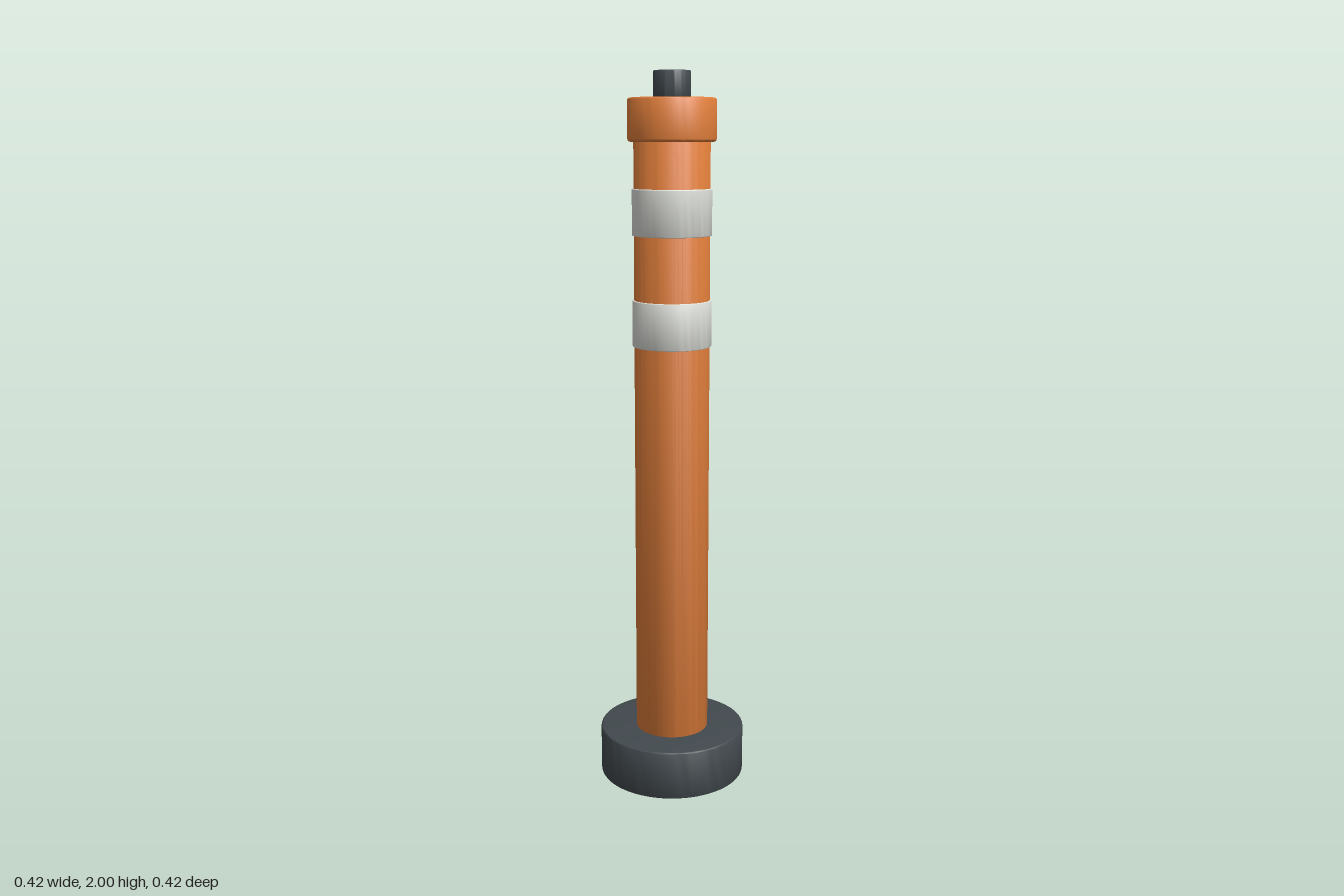
import * as THREE from 'three';
import { toCreasedNormals } from 'three/addons/utils/BufferGeometryUtils.js';

const mat = (name, color) => {
  const m = new THREE.MeshStandardMaterial({ color });
  m.name = name;
  return m;
};

// Solid disc or cylinder between two heights with softly rounded rims
function roundedCylinder(name, radius, y0, y1, bevel, material) {
  const points = [new THREE.Vector2(0, y0)];
  const steps = 4;
  for (const [y, start] of [[y0 + bevel, -Math.PI / 2], [y1 - bevel, 0]]) {
    for (let i = 0; i <= steps; i++) {
      const a = start + (i / steps) * Math.PI / 2;
      points.push(new THREE.Vector2(radius - bevel + Math.cos(a) * bevel, y + Math.sin(a) * bevel));
    }
  }
  points.push(new THREE.Vector2(0, y1));
  const geometry = toCreasedNormals(new THREE.LatheGeometry(points, 64), 0.6);
  const mesh = new THREE.Mesh(geometry, material);
  mesh.name = name;
  return mesh;
}

export function createModel() {
  const orange = mat('orange plastic', 0xe07e3b);
  const dark = mat('dark rubber', 0x42494e);
  const pale = mat('pale reflective', 0xdddfd9);

  const model = new THREE.Group();
  model.name = 'bollard';
  model.add(
    roundedCylinder('base', 0.208, 0, 0.14, 0.006, dark),
    roundedCylinder('post', 0.104, 0.135, 1.83, 0.004, orange),
    roundedCylinder('lowerBand', 0.109, 1.263, 1.391, 0.003, pale),
    roundedCylinder('upperBand', 0.109, 1.566, 1.692, 0.003, pale),
    roundedCylinder('cap', 0.12, 1.815, 1.93, 0.008, orange),
    roundedCylinder('topKnob', 0.051, 1.92, 2, 0.004, dark),
  );
  return model;
}
